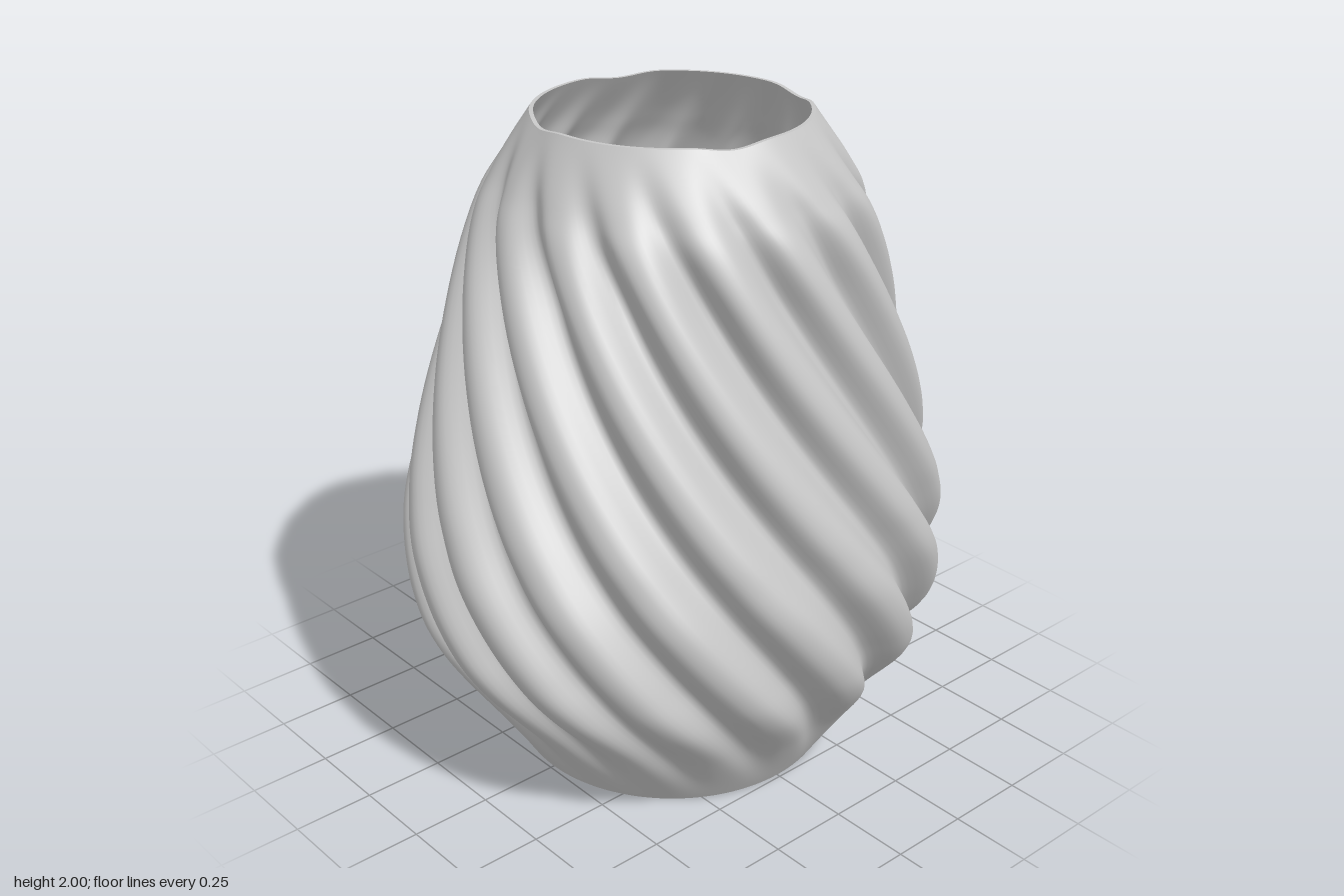
import * as THREE from 'three';

const RIBS = 16, AROUND = 256, ROWS = 90, HEIGHT = 2, TWIST = 1, CREST_Y = 0.85, WALL = 0.012;
const { smoothstep, clamp } = THREE.MathUtils;

// Radius of the rib crests against height
const profile = new THREE.SplineCurve([
  [0.488, 0], [0.618, 0.2], [0.757, 0.4], [0.81, 0.55], [0.825, 0.74], [0.803, 0.9],
  [0.765, 1.06], [0.677, 1.38], [0.583, 1.7], [0.51, 1.84], [0.4, 2],
].map(([r, y]) => new THREE.Vector2(r, y)));

// Point on the ribbed wall: u runs up, s picks the line along a rib, inset moves inward
function wallPoint(u, s, inset) {
  const p = profile.getPoint(u);
  const t = clamp(p.y / HEIGHT, 0, 1);
  // The grid turns with the ribs, which are deepest at mid height and fade at both ends
  const a = s - TWIST * (p.y - CREST_Y);
  const depth = 0.042 * smoothstep(t, 0, 0.27) * (1 - smoothstep(t, 0.78, 1));
  const wave = Math.cos(RIBS * s) - 0.17 * Math.cos(2 * RIBS * s);
  const r = p.x - depth * (0.83 - wave) - inset;
  // Four shallow dips in the rim
  const dip = 0.013 * Math.max(0, Math.cos(4 * (a + 0.3))) ** 3 * smoothstep(t, 0.85, 1);
  return [r * Math.sin(a), p.y - dip, r * Math.cos(a)];
}

// Closed band of rows swept around the vertical axis
function band(rows, pointAt) {
  const positions = [], index = [];
  for (let i = 0; i <= rows; i++) {
    for (let j = 0; j < AROUND; j++) {
      positions.push(...pointAt(i / rows, (j / AROUND) * Math.PI * 2));
    }
  }
  for (let i = 0; i < rows; i++) {
    for (let j = 0; j < AROUND; j++) {
      const k = (j + 1) % AROUND;
      const a = i * AROUND + j, b = i * AROUND + k;
      const c = a + AROUND, d = b + AROUND;
      index.push(a, b, d, a, d, c);
    }
  }
  const g = new THREE.BufferGeometry();
  g.setAttribute('position', new THREE.Float32BufferAttribute(positions, 3));
  g.setIndex(index);
  g.computeVertexNormals();
  return g;
}

export function createModel() {
  const group = new THREE.Group();
  group.name = 'twistedLampshade';
  const grey = new THREE.MeshStandardMaterial({ color: 0xc6c6c6 });
  grey.name = 'matte grey';

  const add = (name, geometry) => {
    const mesh = new THREE.Mesh(geometry, grey);
    mesh.name = name;
    group.add(mesh);
  };

  add('outerWall', band(ROWS, (u, s) => wallPoint(u, s, 0)));
  // Inner wall runs downward so that it faces the axis
  add('innerWall', band(ROWS, (u, s) => wallPoint(1 - u, s, WALL)));
  add('rim', band(1, (u, s) => wallPoint(1, s, WALL * u)));

  // Base plate with a round fitting hole
  const disc = new THREE.Shape().absarc(0, 0, 0.488, 0, Math.PI * 2);
  disc.holes.push(new THREE.Path().absarc(0, 0, 0.185, 0, Math.PI * 2, true));
  const plate = new THREE.ExtrudeGeometry(disc, { depth: 0.03, bevelEnabled: false, curveSegments: 64 });
  plate.rotateX(-Math.PI / 2);
  add('basePlate', plate);

  return group;
}
